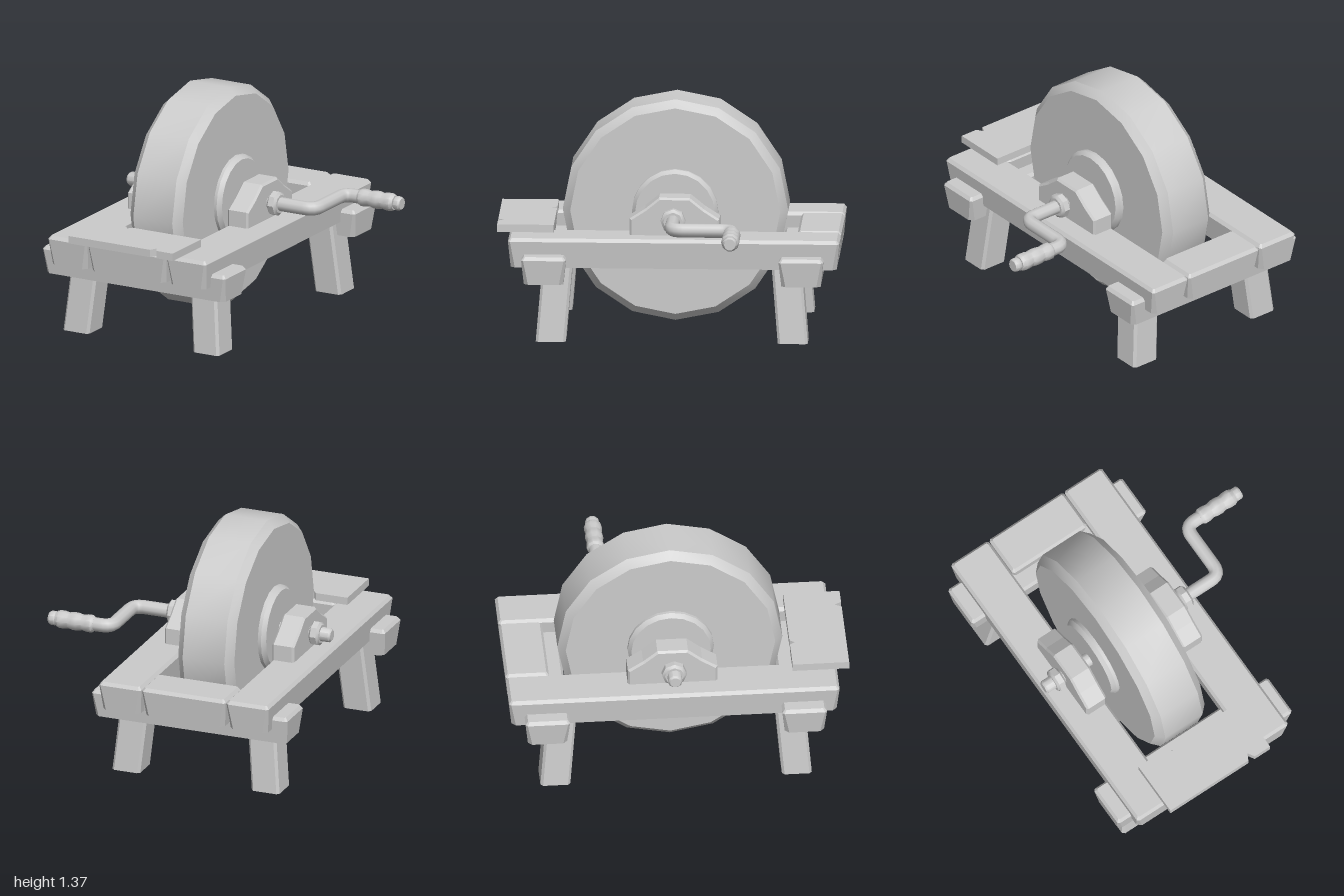
import * as THREE from 'three';
import { toCreasedNormals } from 'three/addons/utils/BufferGeometryUtils.js';
import { ConvexGeometry } from 'three/addons/geometries/ConvexGeometry.js';

const CX = -0.24, CZ = -0.03, AXLE_Y = 0.71;

export function createModel() {
  const model = new THREE.Group();
  const material = new THREE.MeshStandardMaterial({ color: 0xcccccc });

  const add = (name, geometry, x = 0, y = 0, z = 0) => {
    const mesh = new THREE.Mesh(geometry, material);
    mesh.name = name;
    mesh.position.set(x, y, z);
    model.add(mesh);
    return mesh;
  };

  // Rectangle with cut corners, at height y
  const ring = (x, y, z, w, d, cut) => {
    const points = [];
    for (const sx of [-1, 1]) for (const sz of [-1, 1]) {
      points.push(
        new THREE.Vector3(x + sx * (w / 2 - cut), y, z + sz * d / 2),
        new THREE.Vector3(x + sx * w / 2, y, z + sz * (d / 2 - cut)));
    }
    return points;
  };

  // Beam with bevelled top and worn corners, narrower underneath
  const beam = (name, x, z, w, d, y0, y1) => add(name, new ConvexGeometry([
    ...ring(x, y0, z, w - 0.03, d - 0.03, 0.025),
    ...ring(x, y1 - 0.02, z, w, d, 0.012),
    ...ring(x, y1, z, w - 0.03, d - 0.03, 0.008),
  ]));

  // Solid of revolution along x; profile is [x, radius]
  const turned = (name, profile, sides, y = AXLE_Y, z = CZ, crease = 0.55) => {
    const points = profile.map(([x, r]) => new THREE.Vector2(r, x));
    const geometry = new THREE.LatheGeometry(points, sides).rotateZ(-Math.PI / 2);
    return add(name, toCreasedNormals(geometry, crease), 0, y, z);
  };

  // Frame
  for (const s of [-1, 1]) {
    beam('sideRail', CX + s * 0.4, CZ - 0.005, 0.265, 1.93, 0.44, 0.615);
    beam('crossBeam', CX, CZ + s * 0.75, 1.23, 0.26, 0.355, 0.52);
    beam('endBlock', CX, CZ - 0.005 + s * 0.838, 0.525, 0.255, 0.44, 0.615);
  }

  // Splayed legs
  for (const sx of [-1, 1]) for (const sz of [-1, 1]) {
    add('leg', new ConvexGeometry([
      ...ring(CX + sx * 0.438, 0, -0.024 + sz * 0.705, 0.175, 0.175, 0.015),
      ...ring(CX + sx * 0.396, 0.445, -0.024 + sz * 0.668, 0.175, 0.175, 0.015),
    ]));
  }

  // Thin plank with two nicks in its edges
  const plank = new THREE.Shape([
    [-0.59, -1], [-0.04, -1], [-0.02, -0.96], [0.005, -1], [0.113, -1], [0.113, -0.67],
    [-0.35, -0.67], [-0.37, -0.7], [-0.39, -0.67], [-0.59, -0.67],
  ].map(([x, y]) => new THREE.Vector2(x, y)));
  add('frontPlank', new THREE.ExtrudeGeometry(plank, { depth: 0.045, bevelEnabled: false })
    .rotateX(-Math.PI / 2), 0, 0.615, 0);

  // Grinding wheel and hub
  turned('wheel', [
    [-0.415, 0], [-0.415, 0.612], [-0.37, 0.657], [-0.108, 0.657], [-0.063, 0.612], [-0.063, 0],
  ], 16);
  turned('hub', [
    [-0.46, 0], [-0.46, 0.232], [-0.435, 0.252], [-0.045, 0.252], [-0.02, 0.232], [-0.02, 0],
  ], 20);

  // Stepped bearing blocks
  const half = [[0.085, 0.825], [0.165, 0.76], [0.25, 0.705], [0.25, 0.61]];
  const outline = [...half, ...half.map(([z, y]) => [-z, y]).reverse()];
  for (const s of [-1, 1]) {
    const shape = new THREE.Shape(outline.map(([z, y]) => new THREE.Vector2(z, y)));
    const geometry = new THREE.ExtrudeGeometry(shape, {
      depth: 0.114, bevelThickness: 0.012, bevelSize: 0.012, bevelSegments: 1,
    });
    geometry.translate(0, 0, -0.057).rotateY(Math.PI / 2);
    add('bearingBlock', geometry, CX + s * 0.338, 0, CZ - 0.005);
  }

  // Axle and retaining nuts
  turned('axle', [[-0.78, 0], [-0.78, 0.032], [-0.768, 0.042], [0.2, 0.042], [0.2, 0]], 10, AXLE_Y, CZ, 0.7);
  for (const x of [-0.685, 0.21]) {
    turned('axleNut', [
      [x - 0.031, 0], [x - 0.031, 0.057], [x - 0.018, 0.073],
      [x + 0.018, 0.073], [x + 0.031, 0.057], [x + 0.031, 0],
    ], 8);
  }

  // Crank bent back, then outwards to the grip
  const v = (x, z) => new THREE.Vector3(x, AXLE_Y, z);
  const path = new THREE.CurvePath();
  path.add(new THREE.LineCurve3(v(0.18, CZ), v(0.4, CZ)));
  path.add(new THREE.QuadraticBezierCurve3(v(0.4, CZ), v(0.465, CZ), v(0.465, -0.1)));
  path.add(new THREE.LineCurve3(v(0.465, -0.1), v(0.465, -0.32)));
  path.add(new THREE.QuadraticBezierCurve3(v(0.465, -0.32), v(0.465, -0.387), v(0.53, -0.387)));
  path.add(new THREE.LineCurve3(v(0.53, -0.387), v(0.6, -0.387)));
  add('crank', new THREE.TubeGeometry(path, 40, 0.041, 10));

  // Ridged grip with end cap
  turned('grip', [
    [0.565, 0], [0.565, 0.042], [0.58, 0.052], [0.61, 0.052], [0.64, 0.046], [0.67, 0.053],
    [0.7, 0.053], [0.725, 0.047], [0.755, 0.053], [0.785, 0.053], [0.805, 0.044], [0.805, 0.036],
    [0.812, 0.042], [0.838, 0.042], [0.85, 0.034], [0.85, 0],
  ], 10, AXLE_Y, -0.387, 0.7);

  return model;
}
